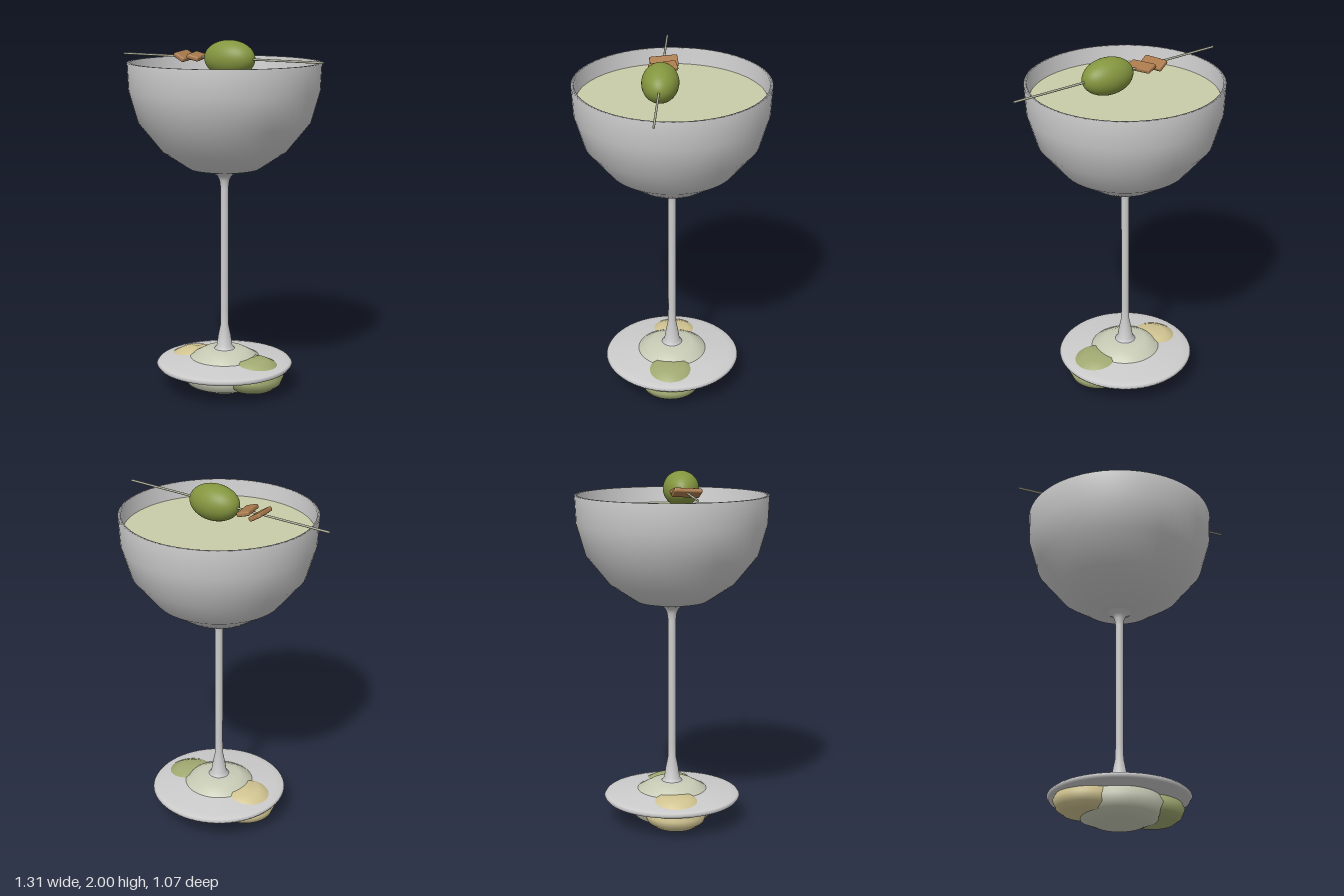
import * as THREE from 'three';
import { RoundedBoxGeometry } from 'three/addons/geometries/RoundedBoxGeometry.js';

const mat = (color, side = THREE.FrontSide) => new THREE.MeshStandardMaterial({ color, side });

function lathe(points, segments = 64) {
  return new THREE.LatheGeometry(points.map(([r, y]) => new THREE.Vector2(r, y)), segments);
}

export function createModel() {
  const group = new THREE.Group();
  const add = (name, geometry, material, x = 0, y = 0, z = 0) => {
    const mesh = new THREE.Mesh(geometry, material);
    mesh.name = name;
    mesh.position.set(x, y, z);
    group.add(mesh);
    return mesh;
  };
  const glass = mat(0xcccccc, THREE.DoubleSide);

  // Bowl: outer wall up, over the rim, and back down inside
  add('bowl', lathe([
    [0.03, 1.25], [0.06, 1.255], [0.2, 1.285], [0.35, 1.385], [0.48, 1.545], [0.53, 1.72], [0.537, 1.875],
    [0.52, 1.875], [0.512, 1.72], [0.465, 1.555], [0.34, 1.405], [0.19, 1.305], [0, 1.28],
  ]), glass);

  // Stem, flared at both ends
  add('stem', lathe([
    [0.062, 0.228], [0.045, 0.25], [0.036, 0.31], [0.024, 0.37], [0.022, 0.45],
    [0.022, 1.17], [0.028, 1.215], [0.04, 1.24], [0.07, 1.258],
  ], 32), glass);

  // Foot: thin disc with a rounded edge, rising gently to the stem
  add('foot', lathe([
    [0, 0.155], [0.2, 0.146], [0.34, 0.132], [0.38, 0.135], [0.39, 0.15], [0.38, 0.161],
    [0.34, 0.168], [0.2, 0.186], [0.12, 0.196], [0.07, 0.22], [0.062, 0.232], [0, 0.235],
  ]), glass);

  // Drink filling the bowl
  add('drink', lathe([
    [0, 1.29], [0.18, 1.31], [0.33, 1.41], [0.455, 1.56], [0.505, 1.72], [0.512, 1.785],
  ]), mat(0xc8cca8));
  const surface = add('drinkSurface', new THREE.CircleGeometry(0.513, 64), mat(0xc8cca8), 0, 1.785, 0);
  surface.rotation.x = -Math.PI / 2;

  // Three flattened stones under the foot, their tops breaking through it
  add('middleStone', lathe([
    [0, 0], [0.135, 0], [0.215, 0.035], [0.25, 0.1], [0.2, 0.185], [0.12, 0.229], [0, 0.23],
  ]), mat(0xc8ccb6));
  const sideStone = lathe([
    [0, 0.032], [0.12, 0.032], [0.16, 0.062], [0.178, 0.105], [0.15, 0.165], [0.085, 0.198], [0, 0.2],
  ], 48);
  for (const [name, side, color] of [['leftStone', 1, 0xa2aa72], ['rightStone', -1, 0xd2c592]]) {
    add(name, sideStone, mat(color), side * 0.192);
  }

  // Garnish: pick, olive and two small slices
  const pickY = 1.9, pickZ = 0.058;
  const pick = add('pick', new THREE.CylinderGeometry(0.006, 0.006, 1.31, 12), mat(0xb0b09c), 0, pickY, pickZ);
  pick.rotation.z = Math.PI / 2;
  const olive = add('olive', new THREE.SphereGeometry(0.1, 48, 32), mat(0x84963f), 0.072, pickY, pickZ);
  olive.rotation.z = Math.PI / 2;
  olive.scale.y = 1.53;
  for (const [x, turn, tilt] of [[-0.23, 0.16, -0.55], [-0.147, 0.27, -0.28]]) {
    const slice = add('slice', new RoundedBoxGeometry(0.072, 0.026, 0.155, 3, 0.009), mat(0xa97a4c), x, pickY + 0.003, pickZ - 0.003);
    slice.rotation.set(0.06, turn, tilt);
  }

  return group;
}
